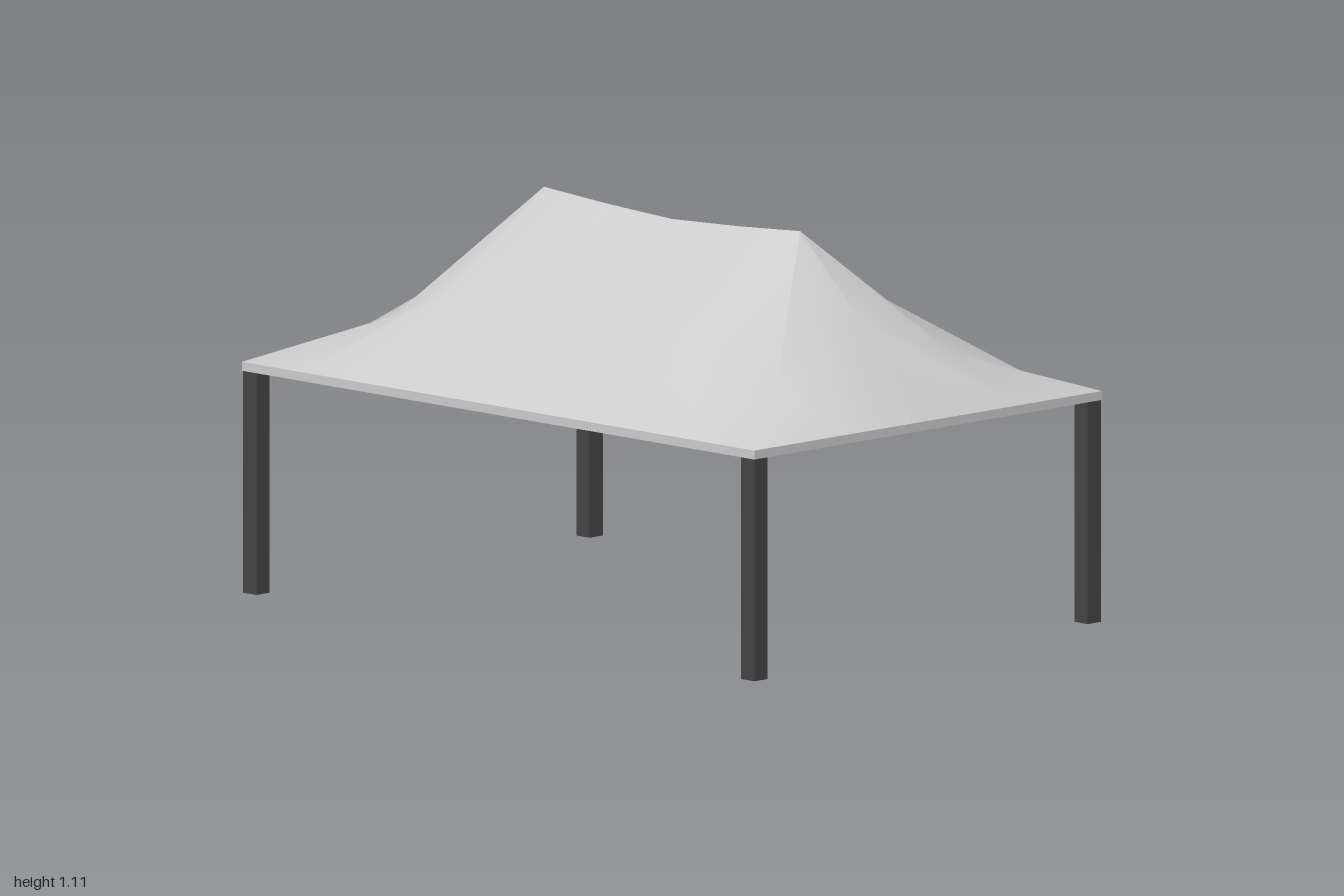
import * as THREE from 'three';
import { toCreasedNormals } from 'three/addons/utils/BufferGeometryUtils.js';

const HALF_W = 0.675, HALF_L = 1, EAVE = 0.645, PEAK = 1.113, SAG = 1.085, PEAK_Z = 0.5;
const VALANCE = 0.025, LEG = 0.052;

// Height of the ridge line: sags between the two peaks, falls straight to each end
function ridgeHeight(z) {
  const d = Math.abs(z);
  if (d <= PEAK_Z) return SAG + (PEAK - SAG) * Math.pow(d / PEAK_Z, 1.3);
  return PEAK + (EAVE - PEAK) * (d - PEAK_Z) / (HALF_L - PEAK_Z);
}

// Stretched fabric: every cross-section runs straight from ridge to eave
function roofPoint(i, j) {
  const x = HALF_W * i / 2, z = HALF_L * j / 4;
  return [x, EAVE + (ridgeHeight(z) - EAVE) * (1 - Math.abs(i) / 2), z];
}

function canopyGeometry() {
  const pos = [];
  for (let i = -2; i < 2; i++) {
    for (let j = -4; j < 4; j++) {
      const a = roofPoint(i, j), b = roofPoint(i, j + 1);
      const c = roofPoint(i + 1, j + 1), d = roofPoint(i + 1, j);
      // folds run from the corners up towards the peaks
      const tris = (i + 0.5) * (j + 0.5) > 0 ? [a, b, c, a, c, d] : [a, b, d, b, c, d];
      pos.push(...tris.flat());
    }
  }
  const geo = new THREE.BufferGeometry();
  geo.setAttribute('position', new THREE.Float32BufferAttribute(pos, 3));
  return toCreasedNormals(geo, 0.7);
}

export function createModel() {
  const model = new THREE.Group();
  const fabric = new THREE.MeshStandardMaterial({ color: 0xcccccc, side: THREE.DoubleSide });
  const dark = new THREE.MeshStandardMaterial({ color: 0x444444 });

  const canopy = new THREE.Mesh(canopyGeometry(), fabric);
  canopy.name = 'canopy';
  model.add(canopy);

  // Narrow hanging strip along each eave
  const valance = new THREE.Group();
  valance.name = 'valance';
  for (let k = 0; k < 4; k++) {
    const onEnd = k % 2 === 0;
    const angle = k * Math.PI / 2;
    const reach = onEnd ? HALF_L : HALF_W;
    const strip = new THREE.Mesh(
      new THREE.PlaneGeometry(2 * (onEnd ? HALF_W : HALF_L), VALANCE), fabric);
    strip.position.set(Math.sin(angle) * reach, EAVE - VALANCE / 2, Math.cos(angle) * reach);
    strip.rotation.y = angle;
    strip.name = 'valanceStrip';
    valance.add(strip);
  }
  model.add(valance);

  // Square corner legs, just inside the valance
  const legHeight = EAVE - 0.005;
  const legGeo = new THREE.BoxGeometry(LEG, legHeight, LEG);
  for (const sx of [-1, 1]) {
    for (const sz of [-1, 1]) {
      const leg = new THREE.Mesh(legGeo, dark);
      leg.position.set(sx * (HALF_W - 0.002 - LEG / 2), legHeight / 2, sz * (HALF_L - 0.002 - LEG / 2));
      leg.name = (sz > 0 ? 'front' : 'back') + (sx > 0 ? 'Left' : 'Right') + 'Leg';
      model.add(leg);
    }
  }
  return model;
}
